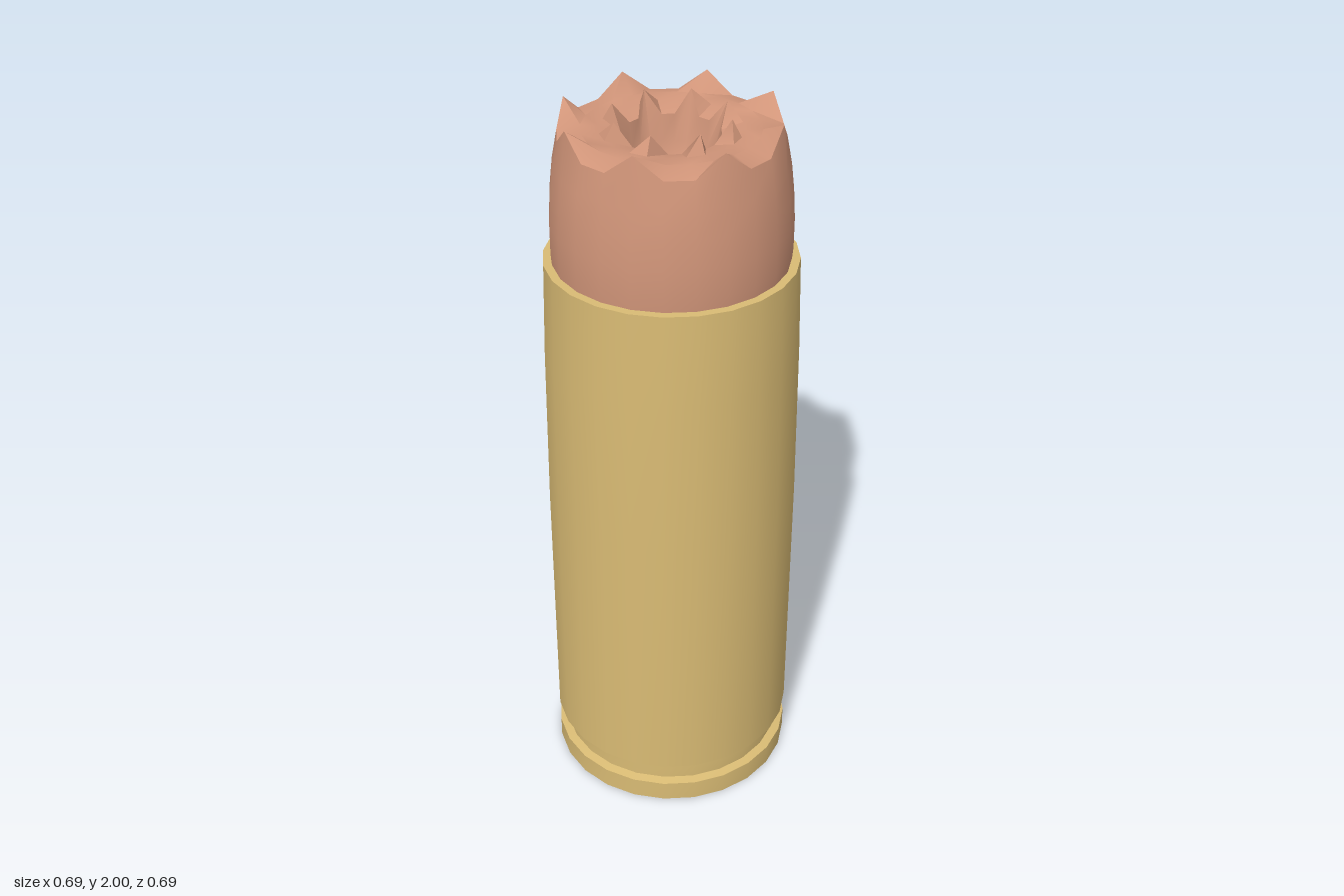
import * as THREE from 'three';
import { toCreasedNormals } from 'three/addons/utils/BufferGeometryUtils.js';

const SIDES = 24;

// Skin a stack of rings [radius, y, tipRadius, tipY]; every third vertex may be a tip
function ringSkin(rings, crease) {
  const pos = [], index = [];
  for (const [r, y, tipR = r, tipY = y] of rings) {
    for (let i = 0; i < SIDES; i++) {
      const a = (i / SIDES) * Math.PI * 2;
      const tip = i % 3 === 0;
      const rad = tip ? tipR : r;
      pos.push(Math.sin(a) * rad, tip ? tipY : y, Math.cos(a) * rad);
    }
  }
  for (let j = 0; j < rings.length - 1; j++) {
    for (let i = 0; i < SIDES; i++) {
      const n = (i + 1) % SIDES;
      const a = j * SIDES + i, b = j * SIDES + n;
      const c = b + SIDES, d = a + SIDES;
      // skip slivers where a ring closes on the axis
      if (rings[j][0] > 0) index.push(a, b, c);
      if (rings[j + 1][0] > 0) index.push(a, c, d);
    }
  }
  const g = new THREE.BufferGeometry();
  g.setAttribute('position', new THREE.Float32BufferAttribute(pos, 3));
  g.setIndex(index);
  return toCreasedNormals(g, crease);
}

export function createModel() {
  const brass = new THREE.MeshStandardMaterial({ color: 0xd9bb74 });
  brass.name = 'brass';
  const copper = new THREE.MeshStandardMaterial({ color: 0xd2967a });
  copper.name = 'copper';

  const model = new THREE.Group();
  const add = (name, geometry, material) => {
    const mesh = new THREE.Mesh(geometry, material);
    mesh.name = name;
    model.add(mesh);
  };

  // Flat base, rim, extractor groove and gently tapering wall with a flat mouth
  add('case', ringSkin([
    [0, 0], [0.342, 0], [0.342, 0.06], [0.318, 0.065], [0.318, 0.108],
    [0.343, 0.13], [0.343, 0.9], [0.338, 1.35], [0.331, 1.61], [0.305, 1.61],
  ], 0.6), brass);

  // Bullet jacket with a jagged outer crown, a rounded lip and a star-shaped hollow
  add('bullet', ringSkin([
    [0.306, 1.58], [0.311, 1.64], [0.311, 1.72], [0.306, 1.8], [0.298, 1.87],
    [0.284, 1.943, 0.284, 2],
    [0.225, 1.958], [0.18, 1.955],
    [0.125, 1.94, 0.155, 1.998],
    [0.118, 1.87], [0.098, 1.8], [0.058, 1.75], [0, 1.73],
  ], 0.8), copper);

  return model;
}
